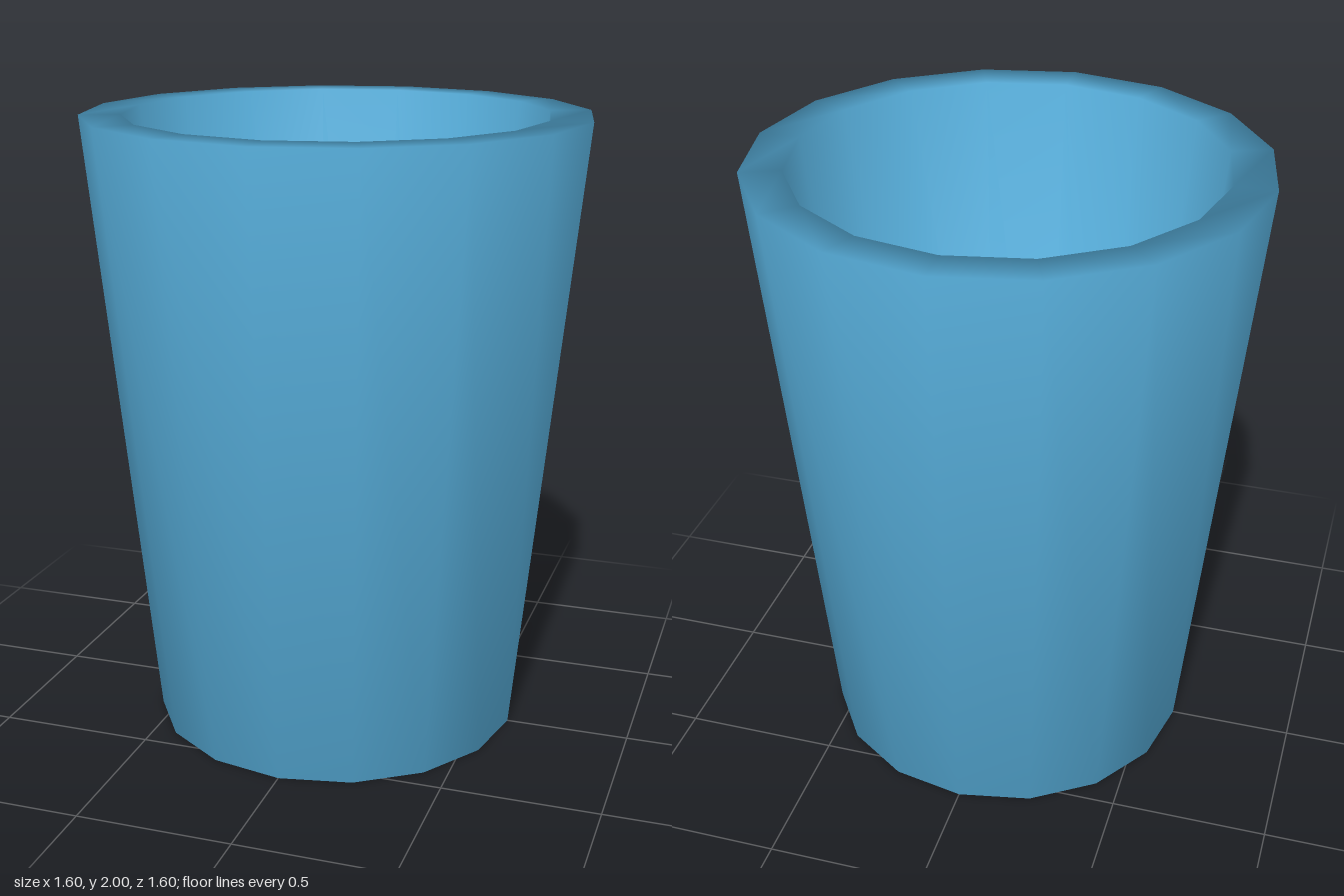
import * as THREE from 'three';

const SIDES = 16;

// Outline of the cup wall, from the centre of the base, up the outside,
// over the flat rim and down the inside to the centre of the floor.
const profile = [
  [0, 0],
  [0.6, 0],
  [0.8, 2],
  [0.67, 2],
  [0.48, 0.13],
  [0, 0.13],
].map(([r, y]) => new THREE.Vector2(r, y));

export function createModel() {
  const group = new THREE.Group();
  group.name = 'tumbler';

  // Tapered cup, smooth shaded all over
  const cup = new THREE.Mesh(
    new THREE.LatheGeometry(profile, SIDES),
    new THREE.MeshStandardMaterial({ color: 0x5ab4e2 })
  );
  cup.name = 'cup';
  group.add(cup);

  return group;
}
